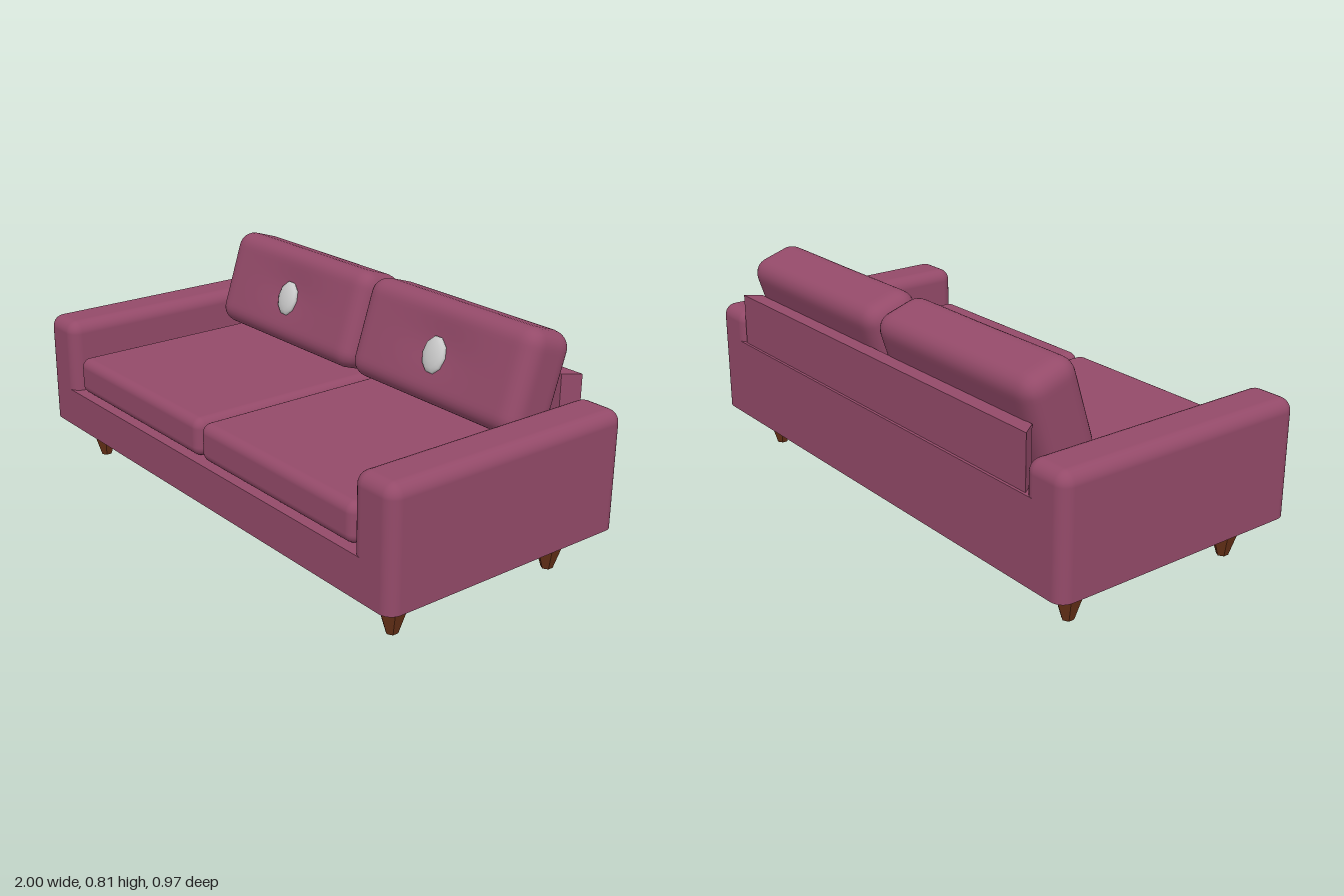
import * as THREE from 'three';
import { RoundedBoxGeometry } from 'three/addons/geometries/RoundedBoxGeometry.js';
import { mergeVertices } from 'three/addons/utils/BufferGeometryUtils.js';

const fabric = new THREE.MeshStandardMaterial({ color: 0x944a69 });
const wood = new THREE.MeshStandardMaterial({ color: 0x6b3319, flatShading: true });
const buttonGrey = new THREE.MeshStandardMaterial({ color: 0xcccccc });

const BOTTOM = 0.155;

function addMesh(parent, name, geometry, material, x, y, z) {
  const mesh = new THREE.Mesh(geometry, material);
  mesh.name = name;
  mesh.position.set(x, y, z);
  parent.add(mesh);
  return mesh;
}

// Box given by its limits
function addBox(parent, name, x0, x1, y0, y1, z0, z1) {
  const g = new THREE.BoxGeometry(x1 - x0, y1 - y0, z1 - z0);
  return addMesh(parent, name, g, fabric, (x0 + x1) / 2, (y0 + y1) / 2, (z0 + z1) / 2);
}

// Rounded box standing on y = 0 whose underside is pressed flat
function flatBottomRoundedBox(w, h, d, r) {
  const g = new RoundedBoxGeometry(w, h + r, d, 4, r);
  g.translate(0, (h + r) / 2 - r, 0);
  const p = g.attributes.position, n = g.attributes.normal;
  for (let i = 0; i < p.count; i += 3) {
    let under = true;
    for (let j = i; j < i + 3; j++) {
      if (p.getY(j) < 1e-4) p.setY(j, 0);
      else under = false;
    }
    if (under) for (let j = i; j < i + 3; j++) n.setXYZ(j, 0, -1, 0);
  }
  return g;
}

// Soft pillow: rounded box with a dimple pressed into its front face
function pillowGeometry(w, h, d, r, dimpleY, depth) {
  let g = new THREE.BoxGeometry(w, h, d, 40, 24, 16);
  const p = g.attributes.position;
  const half = new THREE.Vector3(w / 2 - r, h / 2 - r, d / 2 - r);
  const low = half.clone().negate();
  const v = new THREE.Vector3(), core = new THREE.Vector3();
  for (let i = 0; i < p.count; i++) {
    v.fromBufferAttribute(p, i);
    core.copy(v).clamp(low, half);
    v.sub(core).setLength(r).add(core);
    if (v.z > d / 2 - r * 0.5) {
      const dx = v.x / 0.16, dy = (v.y - dimpleY) / 0.09;
      v.z -= depth * Math.exp(-dx * dx - dy * dy);
    }
    p.setXYZ(i, v.x, v.y, v.z);
  }
  g.deleteAttribute('normal');
  g.deleteAttribute('uv');
  g = mergeVertices(g, 1e-5);
  g.computeVertexNormals();
  return g;
}

export function createModel() {
  const sofa = new THREE.Group();
  sofa.name = 'sofa';

  // Base rail and the lower part of the back
  addBox(sofa, 'base', -0.94, 0.94, BOTTOM, 0.3, -0.485, 0.485);
  addBox(sofa, 'lowerBack', -0.94, 0.94, 0.3, 0.45, -0.485, -0.41);

  // Upper back panel, narrower at its front
  const outline = new THREE.Shape([
    new THREE.Vector2(-0.825, 0.475), new THREE.Vector2(-0.785, 0.42),
    new THREE.Vector2(0.785, 0.42), new THREE.Vector2(0.825, 0.475),
  ]);
  const panel = new THREE.ExtrudeGeometry(outline, { depth: 0.237, bevelEnabled: false });
  panel.rotateX(-Math.PI / 2);
  addMesh(sofa, 'backPanel', panel, fabric, 0, 0.4, 0);

  const armGeometry = flatBottomRoundedBox(0.178, 0.567 - BOTTOM, 0.97, 0.045);
  const seatGeometry = new RoundedBoxGeometry(0.806, 0.138, 0.87, 4, 0.035);
  const pillow = pillowGeometry(0.805, 0.361, 0.205, 0.06, 0.02, 0.012);
  const button = new THREE.SphereGeometry(1, 10, 8);
  button.rotateX(Math.PI / 2);
  button.scale(0.052, 0.066, 0.02);
  const legGeometry = new THREE.CylinderGeometry(0.07, 0.0205, BOTTOM, 6);

  for (const [side, s] of [['left', 1], ['right', -1]]) {
    addMesh(sofa, side + 'Arm', armGeometry, fabric, s * 0.911, BOTTOM, 0);
    addMesh(sofa, side + 'SeatCushion', seatGeometry, fabric, s * 0.407, 0.369, 0.032);

    // Leaning back cushion with its button
    const cushion = new THREE.Group();
    cushion.name = side + 'BackCushion';
    cushion.position.set(s * 0.406, 0.623, -0.31);
    cushion.rotation.x = -THREE.MathUtils.degToRad(18);
    addMesh(cushion, 'cushion', pillow, fabric, 0, 0, 0);
    addMesh(cushion, 'button', button, buttonGrey, 0, -0.012, 0.098);
    sofa.add(cushion);

    // Tapered six-sided legs
    addMesh(sofa, side + 'FrontLeg', legGeometry, wood, s * 0.858, BOTTOM / 2, 0.347);
    addMesh(sofa, side + 'BackLeg', legGeometry, wood, s * 0.858, BOTTOM / 2, -0.33);
  }
  return sofa;
}
